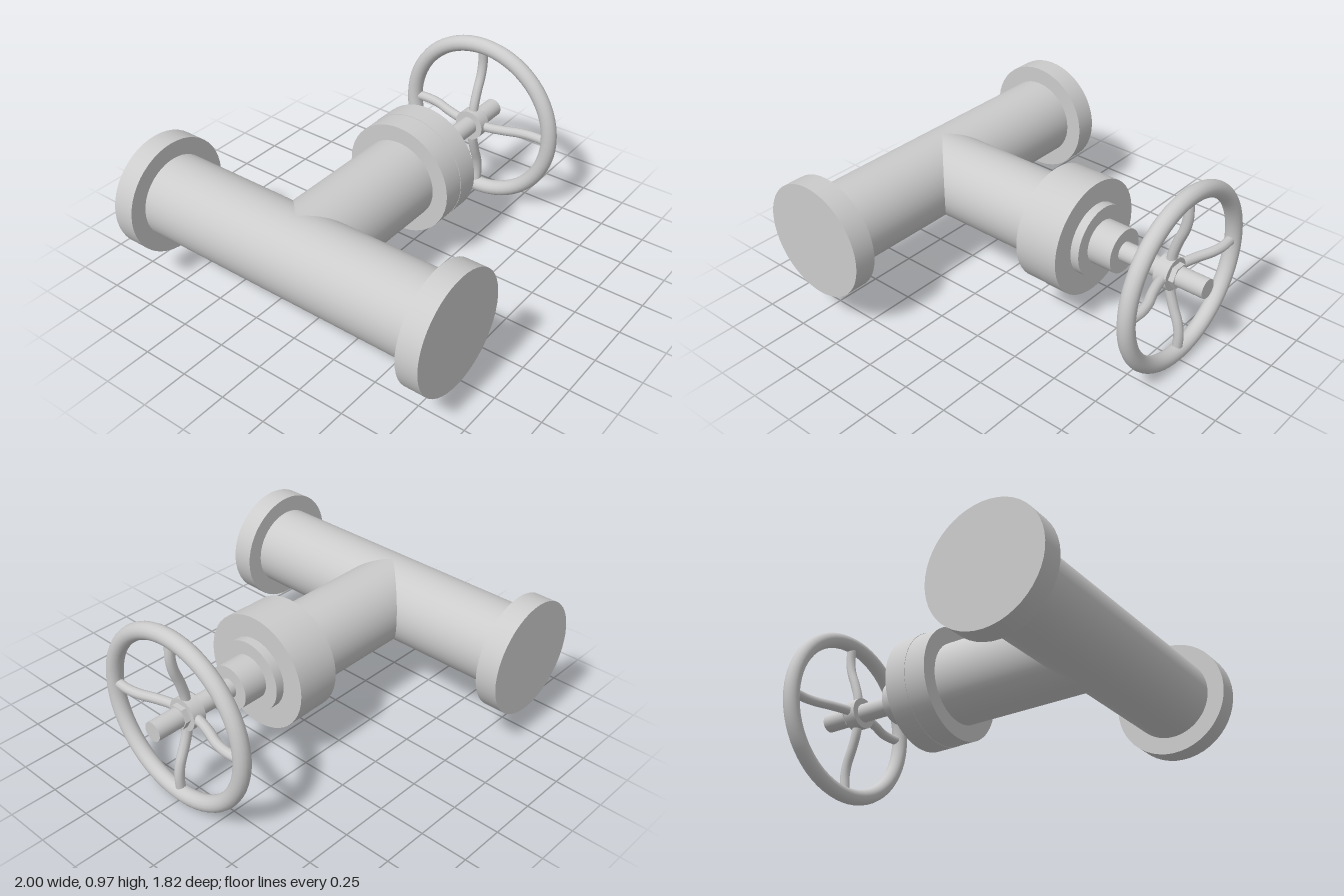
import * as THREE from 'three';

const AXIS_Y = 0.49;   // height of every pipe and stem axis
const PIPE_X = -0.69;  // centre of the straight pipe
const WHEEL_X = 0.862; // plane of the handwheel

export function createModel() {
  const model = new THREE.Group();
  model.name = 'gateValve';
  const material = new THREE.MeshStandardMaterial({ color: 0xcccccc });

  function add(name, geometry, parent = model) {
    const mesh = new THREE.Mesh(geometry, material);
    mesh.name = name;
    parent.add(mesh);
    return mesh;
  }

  // Cylinder along x between two x positions
  function cylinderX(name, x0, x1, radius, sides = 48) {
    const g = new THREE.CylinderGeometry(radius, radius, x1 - x0, sides);
    g.rotateZ(-Math.PI / 2);
    g.translate((x0 + x1) / 2, AXIS_Y, 0);
    return add(name, g);
  }

  // Cylinder along z between two z positions, on the straight pipe's axis
  function cylinderZ(name, z0, z1, radius) {
    const g = new THREE.CylinderGeometry(radius, radius, z1 - z0, 48);
    g.rotateX(Math.PI / 2);
    g.translate(PIPE_X, AXIS_Y, (z0 + z1) / 2);
    return add(name, g);
  }

  // Straight pipe with closed end flanges
  cylinderZ('mainPipe', -0.8, 0.8, 0.218);
  cylinderZ('frontFlange', 0.795, 0.912, 0.307);
  cylinderZ('backFlange', -0.912, -0.795, 0.307);

  // Branch, bolted flange pair and stepped bonnet
  cylinderX('branchPipe', PIPE_X, 0.11, 0.218);
  cylinderX('branchFlange', 0.097, 0.22, 0.305);
  cylinderX('bonnetFlange', 0.22, 0.342, 0.307);
  cylinderX('bonnetStep', 0.34, 0.39, 0.19);
  cylinderX('packingGland', 0.385, 0.525, 0.117);

  // Stem, wheel hub and nut
  cylinderX('stem', 0.52, 1, 0.051, 24);
  cylinderX('wheelHub', 0.75, 0.822, 0.085, 32);
  cylinderX('hubNut', 0.82, 0.85, 0.063, 6).material = Object.assign(material.clone(), { flatShading: true });

  // Handwheel: ring and four dished spokes
  const wheel = new THREE.Group();
  wheel.name = 'handwheel';
  wheel.position.set(WHEEL_X, AXIS_Y, 0);
  model.add(wheel);

  const ring = new THREE.TorusGeometry(0.444, 0.043, 16, 64);
  ring.rotateY(Math.PI / 2);
  add('wheelRim', ring, wheel);

  const spokePath = new THREE.CatmullRomCurve3([
    new THREE.Vector3(-0.07, 0.055, 0),
    new THREE.Vector3(-0.062, 0.11, 0),
    new THREE.Vector3(-0.038, 0.19, 0),
    new THREE.Vector3(-0.008, 0.27, 0),
    new THREE.Vector3(0.004, 0.34, 0),
    new THREE.Vector3(0, 0.43, 0),
  ]);
  const spokeGeometry = new THREE.TubeGeometry(spokePath, 24, 0.026, 10);
  for (let i = 0; i < 4; i++) {
    add('wheelSpoke', spokeGeometry, wheel).rotation.x = (i * Math.PI) / 2;
  }

  return model;
}
